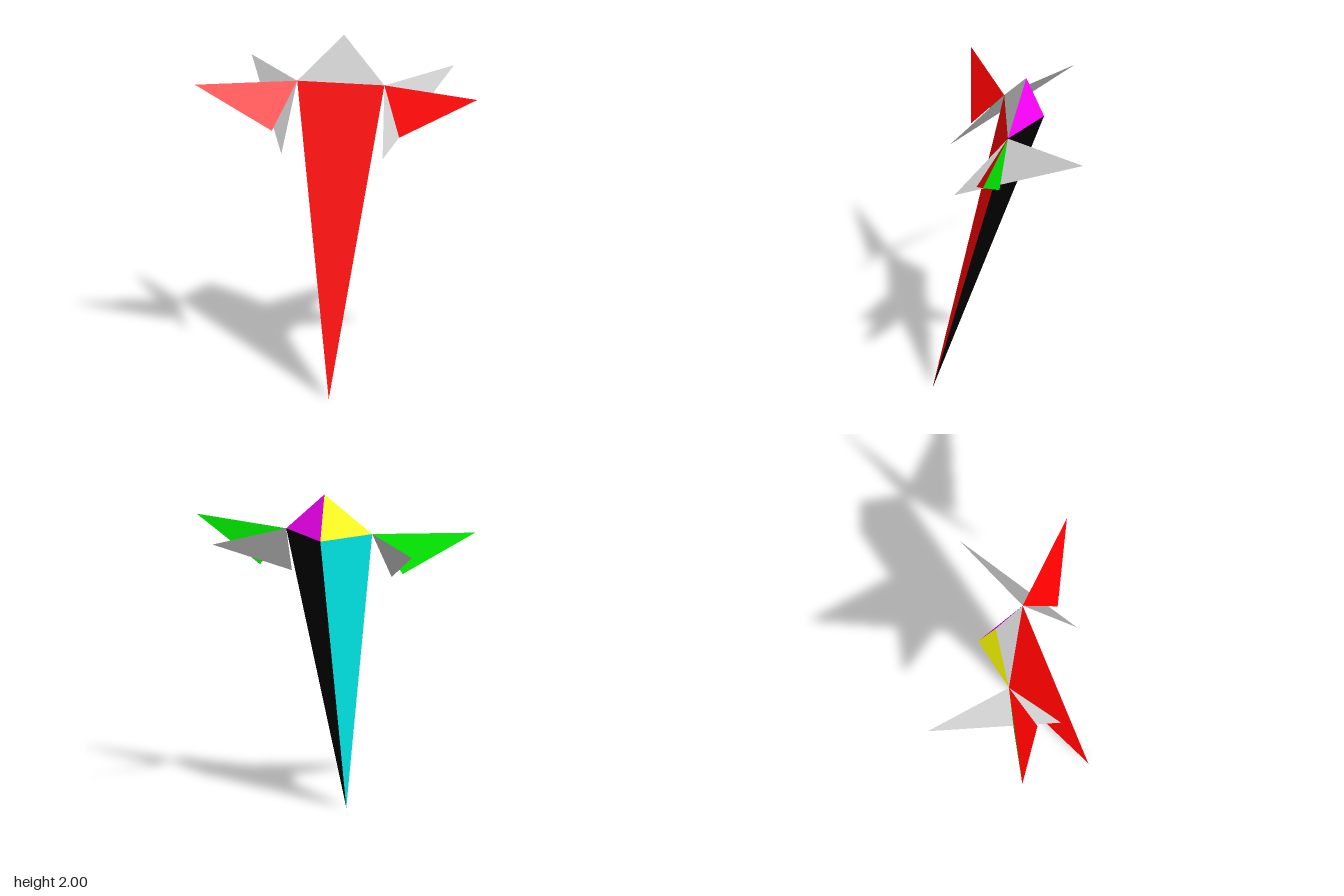
import * as THREE from 'three';

// One flat coloured facet, corners counter-clockwise from outside
function facet(name, color, a, b, c) {
  const geometry = new THREE.BufferGeometry();
  geometry.setAttribute('position', new THREE.Float32BufferAttribute([...a, ...b, ...c], 3));
  geometry.computeVertexNormals();
  const material = new THREE.MeshStandardMaterial({ color, flatShading: true, side: THREE.DoubleSide });
  const mesh = new THREE.Mesh(geometry, material);
  mesh.name = name;
  return mesh;
}

export function createModel() {
  const model = new THREE.Group();
  model.name = 'facetedFigure';

  // Shared corners of the body and the head
  const rightShoulder = [-0.25, 1.75, 0];
  const leftShoulder = [0.25, 1.75, 0];
  const back = [0, 1.75, -0.215];
  const tip = [0, 0, 0.415];
  const crown = [0, 2, -0.115];

  // Long three-sided body tapering to a point
  const body = new THREE.Group();
  body.name = 'body';
  body.add(
    facet('bodyFront', 0xff0000, rightShoulder, tip, leftShoulder),
    facet('bodyBackLeft', 0x000000, leftShoulder, tip, back),
    facet('bodyBackRight', 0x00ffff, back, tip, rightShoulder)
  );

  // Pyramid head
  const head = new THREE.Group();
  head.name = 'head';
  head.add(
    facet('headFront', 0xcccccc, rightShoulder, leftShoulder, crown),
    facet('headBackLeft', 0xff00ff, leftShoulder, back, crown),
    facet('headBackRight', 0xffff00, back, rightShoulder, crown)
  );
  model.add(body, head);

  // Mirrored arms (two open facets) and single-facet wings
  for (const [side, s] of [['left', 1], ['right', -1]]) {
    const panel = (name, color, ...points) => {
      const corners = points.map(([x, y, z]) => [s * x, y, z]);
      if (s < 0) corners.reverse();
      return facet(name, color, ...corners);
    };
    const hand = [0.81, 1.75, 0.165];
    const arm = new THREE.Group();
    arm.name = side + 'Arm';
    arm.add(
      panel(side + 'ArmFront', 0xff0000, leftShoulder, [0.365, 1.505, 0.182], hand),
      panel(side + 'ArmBack', 0x00ff00, leftShoulder, hand, [0.415, 1.51, 0.055])
    );
    model.add(arm, panel(side + 'Wing', 0xcccccc, leftShoulder, [0.29, 1.412, 0.305], [0.58, 1.75, -0.413]));
  }
  return model;
}
